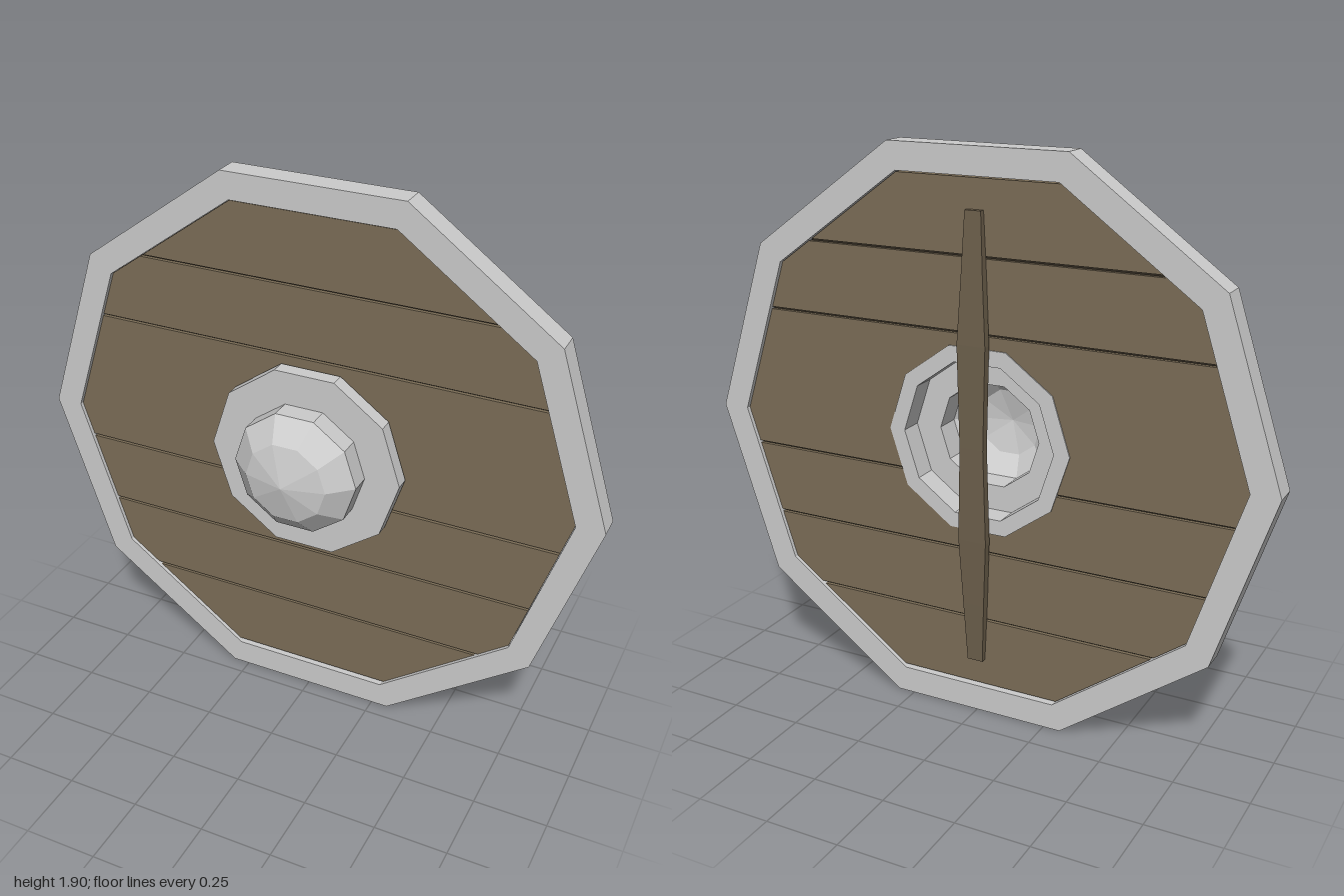
import * as THREE from 'three';

const SIDES = 10;
const CY = 0.951;       // centre of the disc
const BOSS_Y = 0.965;   // centre of the boss

const metal = new THREE.MeshStandardMaterial({ color: 0xcccccc, flatShading: true });
const wood = new THREE.MeshStandardMaterial({ color: 0x7b6d57, flatShading: true });
const darkWood = new THREE.MeshStandardMaterial({ color: 0x2e281f, flatShading: true });
const gripWood = new THREE.MeshStandardMaterial({ color: 0x6d604c, flatShading: true });

function add(parent, name, geometry, material) {
  const mesh = new THREE.Mesh(geometry, material);
  mesh.name = name;
  parent.add(mesh);
  return mesh;
}

function decagon(r) {
  return Array.from({ length: SIDES }, (_, i) => {
    const a = (i / SIDES) * Math.PI * 2;
    return new THREE.Vector2(r * Math.cos(a), r * Math.sin(a));
  });
}

// Half width of a decagon of radius r, at height y
function halfWidth(y, r, cy) {
  const corners = decagon(r).slice(0, 3);
  const d = Math.abs(y - cy);
  for (let i = 0; i < 2; i++) {
    const a = corners[i], b = corners[i + 1];
    if (d <= b.y + 1e-9) return THREE.MathUtils.mapLinear(d, a.y, b.y, a.x, b.x);
  }
  return 0;
}

// Heights between y0 and y1 where the outline of a decagon bends
function levels(y0, y1, r, cy) {
  const inner = [];
  for (const p of decagon(r).slice(0, 3)) {
    const extra = p.y > r * 0.9 ? [p.y, p.y + 1e-4] : [p.y];
    for (const d of extra) inner.push(cy + d, cy - d);
  }
  const inside = [...new Set(inner)].filter((y) => y > y0 && y < y1);
  return [y0, ...inside.sort((a, b) => a - b), y1];
}

// Left or right half of a board, cut to the rim outside and to the boss inside
function halfBoard(side, y0, y1, zBack, zFront) {
  const R = 0.903, HOLE = 0.31;
  const outer = levels(y0, y1, R, CY)
    .map((y) => new THREE.Vector2(side * halfWidth(y, R, CY), y));
  const inner = levels(y0, y1, HOLE, BOSS_Y).reverse()
    .map((y) => new THREE.Vector2(side * halfWidth(y, HOLE, BOSS_Y), y));
  const geometry = new THREE.ExtrudeGeometry(new THREE.Shape([...outer, ...inner]),
    { depth: zFront - zBack, bevelEnabled: false });
  return geometry.translate(0, 0, zBack);
}

export function createModel() {
  const shield = new THREE.Group();
  shield.name = 'roundShield';

  // Metal rim
  const ring = new THREE.Shape(decagon(1));
  ring.holes.push(new THREE.Path(decagon(0.905)));
  const rim = new THREE.ExtrudeGeometry(ring, { depth: 0.085, bevelEnabled: false });
  add(shield, 'rim', rim.translate(0, CY, -0.14), metal);

  // Seven planks, with dark seams between them; the two upper middle ones butt together
  const planks = new THREE.Group();
  planks.name = 'planks';
  shield.add(planks);
  const bottom = 0.095, pitch = 0.245, gap = 0.004;
  for (let i = 0; i < 7; i++) {
    const y0 = bottom + i * pitch + (i === 4 ? 0 : gap);
    const y1 = bottom + (i + 1) * pitch - (i === 3 ? 0 : gap);
    for (const side of [-1, 1]) {
      add(planks, 'plank', halfBoard(side, y0, y1, -0.128, -0.067), wood);
    }
  }
  for (const side of [-1, 1]) {
    add(planks, 'seamCore', halfBoard(side, 0.1, 1.8, -0.115, -0.08), darkWood);
  }

  // Hollow boss: collar through the boards, flange and faceted dome
  const profile = [
    [0.27, -0.132], [0.325, -0.132], [0.325, -0.06], [0.339, -0.06], [0.339, -0.01], [0.218, -0.01],
    [0.218, 0.06], [0.142, 0.13], [0, 0.165],
    [0, 0.125], [0.115, 0.1], [0.18, 0.04], [0.18, -0.05], [0.27, -0.05], [0.27, -0.132],
  ].map(([r, z]) => new THREE.Vector2(r, z));
  const boss = new THREE.LatheGeometry(profile, SIDES, Math.PI / 2);
  add(shield, 'boss', boss.rotateX(Math.PI / 2).translate(0, BOSS_Y, 0), metal);

  // Bowed grip across the back: height, half width, back depth
  const rows = [
    [0.19, 0.028, -0.147], [0.4, 0.038, -0.156], [0.63, 0.05, -0.164], [0.95, 0.042, -0.165],
    [1.29, 0.05, -0.164], [1.5, 0.038, -0.156], [1.71, 0.028, -0.147],
  ];
  const grip = new THREE.BoxGeometry(1, 1, 1, 1, rows.length - 1, 1);
  const pos = grip.attributes.position;
  for (let i = 0; i < pos.count; i++) {
    const [y, w, z] = rows[Math.round((pos.getY(i) + 0.5) * (rows.length - 1))];
    pos.setXYZ(i, Math.sign(pos.getX(i)) * w + 0.004, y, z + (pos.getZ(i) > 0 ? 0.028 : 0));
  }
  grip.computeVertexNormals();
  add(shield, 'grip', grip, gripWood);

  return shield;
}
